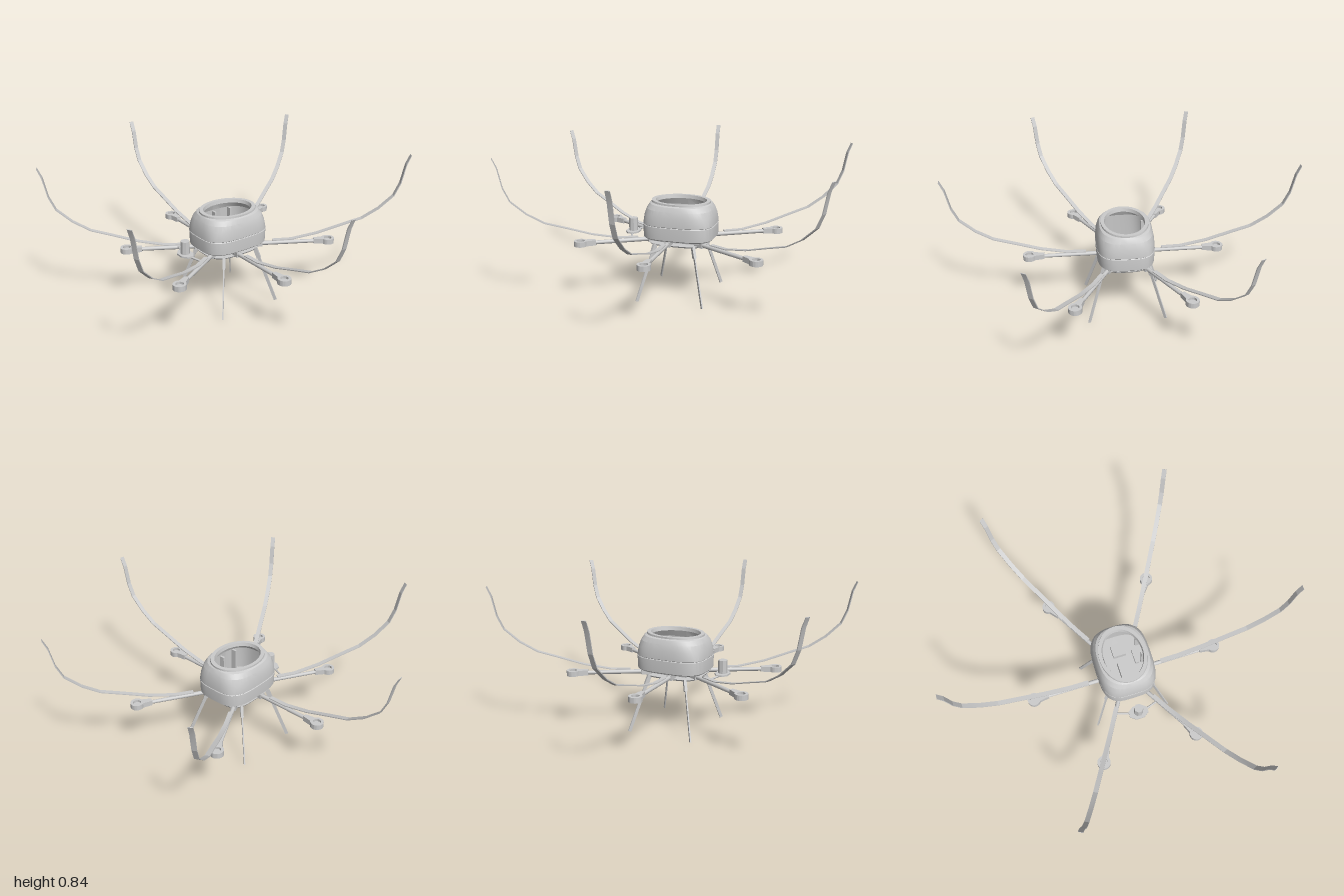
import * as THREE from 'three';
import { toCreasedNormals } from 'three/addons/utils/BufferGeometryUtils.js';

const mat = new THREE.MeshStandardMaterial({ color: 0xcccccc, side: THREE.DoubleSide });
const V = (x, y, z) => new THREE.Vector3(x, y, z);

function add(parent, name, geo, x = 0, y = 0, z = 0) {
  const m = new THREE.Mesh(geo, mat);
  m.name = name;
  m.position.set(x, y, z);
  parent.add(m);
  return m;
}

// Loft of superellipse rings [y, rx, rz, exponent], optionally closed at the ends
function loft(rings, capped = false, n = 40) {
  const pos = [], idx = [];
  for (const [y, rx, rz, e] of rings) {
    for (let i = 0; i < n; i++) {
      const a = (i / n) * Math.PI * 2, c = Math.cos(a), s = Math.sin(a);
      pos.push(rx * Math.sign(c) * Math.abs(c) ** (2 / e), y, rz * Math.sign(s) * Math.abs(s) ** (2 / e));
    }
  }
  for (let r = 0; r < rings.length - 1; r++) {
    for (let i = 0; i < n; i++) {
      const a = r * n + i, d = r * n + (i + 1) % n;
      idx.push(a, a + n, d + n, a, d + n, d);
    }
  }
  const last = (rings.length - 1) * n;
  for (let i = 1; capped && i < n - 1; i++) {
    idx.push(0, i, i + 1, last, last + i + 1, last + i);
  }
  const g = new THREE.BufferGeometry();
  g.setAttribute('position', new THREE.Float32BufferAttribute(pos, 3));
  g.setIndex(idx);
  return toCreasedNormals(g, 0.3);
}

// Straight rod between two points
function rod(parent, name, a, b, r0, r1 = r0, sides = 8) {
  const m = add(parent, name, new THREE.CylinderGeometry(r1, r0, a.distanceTo(b), sides));
  m.position.copy(a).add(b).multiplyScalar(0.5);
  m.quaternion.setFromUnitVectors(V(0, 1, 0), b.clone().sub(a).normalize());
}

// Curved flat strip: side profile (radius, height) thickened, then extruded to its width
function ribbonGeometry() {
  const pts = [[0.22, 0.36], [0.33, 0.362], [0.48, 0.392], [0.625, 0.438], [0.74, 0.473], [0.835, 0.53],
    [0.918, 0.605], [0.952, 0.68], [0.975, 0.79], [1.0, 0.845]].map(p => new THREE.Vector2(...p));
  const under = pts.map((p, i) => {
    const t = pts[Math.min(i + 1, pts.length - 1)].clone().sub(pts[Math.max(i - 1, 0)]).normalize();
    return new THREE.Vector2(p.x + t.y * 0.005, p.y - t.x * 0.005);
  });
  under[under.length - 1].x = 1.002;
  const g = new THREE.ExtrudeGeometry(new THREE.Shape([...under, ...pts.slice().reverse()]),
    { depth: 0.026, bevelEnabled: false });
  return toCreasedNormals(g.translate(0, 0, -0.013), 0.2);
}

// Teardrop motor mount with a round hole, centred on the origin
function mountGeometry() {
  const s = new THREE.Shape();
  s.moveTo(-0.085, -0.012);
  s.lineTo(-0.03, -0.02);
  s.absarc(0, 0, 0.037, -2.55, 2.55, false);
  s.lineTo(-0.085, 0.012);
  s.closePath();
  s.holes.push(new THREE.Path().absarc(0, 0, 0.022, 0, Math.PI * 2, true));
  const g = new THREE.ExtrudeGeometry(s, { depth: 0.03, bevelEnabled: false, curveSegments: 20 });
  return toCreasedNormals(g.rotateX(-Math.PI / 2), 0.5);
}

export function createModel() {
  const model = new THREE.Group();
  model.name = 'hexacopter';

  // Domed shell with a rolled lip and inner wall
  add(model, 'bodyShell', loft([
    [0.355, 0.198, 0.155, 3.4], [0.362, 0.205, 0.163, 3.4], [0.434, 0.207, 0.166, 3.4],
    [0.437, 0.204, 0.163, 3.4], [0.44, 0.207, 0.166, 3.4], [0.49, 0.2, 0.162, 3.2],
    [0.525, 0.19, 0.155, 2.9], [0.55, 0.176, 0.144, 2.5], [0.555, 0.171, 0.135, 2.1],
    [0.565, 0.171, 0.135, 2], [0.565, 0.148, 0.115, 2], [0.545, 0.143, 0.111, 2],
    [0.545, 0.165, 0.132, 2.4], [0.5, 0.185, 0.147, 3], [0.36, 0.19, 0.15, 3.4],
  ]), 0.005);

  // Base plates
  add(model, 'lowerPlate', loft([[0.32, 0.165, 0.135, 3.4], [0.328, 0.17, 0.14, 3.4]], true));
  add(model, 'upperPlate', loft([[0.35, 0.19, 0.148, 3.4], [0.36, 0.19, 0.148, 3.4]], true), 0.005);
  add(model, 'plateCore', new THREE.BoxGeometry(0.2, 0.024, 0.17), 0, 0.339, 0);
  add(model, 'bellyTray', new THREE.BoxGeometry(0.15, 0.008, 0.08), -0.02, 0.318, 0);

  // Equipment inside the shell
  const bay = new THREE.Group();
  bay.name = 'equipmentBay';
  model.add(bay);
  add(bay, 'battery', new THREE.BoxGeometry(0.12, 0.04, 0.06), -0.035, 0.38, 0);
  add(bay, 'controller', new THREE.BoxGeometry(0.075, 0.03, 0.075), 0.1, 0.375, 0);
  for (const s of [-1, 1]) {
    add(bay, 'sideModule', new THREE.BoxGeometry(0.09, 0.02, 0.02), 0.04, 0.37, s * 0.085);
    for (const x of [-0.1, 0, 0.11]) {
      add(bay, 'wallRib', new THREE.BoxGeometry(0.012, 0.14, 0.03), x, 0.43, s * 0.122);
    }
  }

  // Six arms, each with motor mount and curved guard strip
  const ribbon = ribbonGeometry(), mount = mountGeometry();
  for (const deg of [30, 90, 150, 210, 270, 330]) {
    const arm = new THREE.Group();
    arm.name = 'arm';
    arm.position.x = -0.03;
    arm.rotation.y = THREE.MathUtils.degToRad(deg);
    model.add(arm);
    const shift = Math.cos(arm.rotation.y) > 0.5 ? 0.071 : 0;
    rod(arm, 'armTube', V(0.09, 0.34, 0), V(0.48 + shift, 0.339, 0), 0.013, 0.011, 10);
    add(arm, 'armClamp', new THREE.BoxGeometry(0.06, 0.03, 0.032), 0.13 + shift, 0.339, 0);
    add(arm, 'motorMount', mount, 0.547 + shift, 0.325, 0);
    add(arm, 'mountFloor', new THREE.CylinderGeometry(0.023, 0.023, 0.006, 20), 0.547 + shift, 0.338, 0);
    add(arm, 'guardStrip', ribbon, shift, 0, 0);
  }

  // Four splayed blade legs, each hung from a short socket
  for (const deg of [50, 130, 230, 310]) {
    const leg = new THREE.Group();
    const a = THREE.MathUtils.degToRad(deg);
    leg.name = 'landingLeg';
    leg.position.set(Math.sign(Math.cos(a)) * 0.11, 0.33, -Math.sign(Math.sin(a)) * 0.125);
    leg.rotation.set(0, a, 0.375);
    model.add(leg);
    add(leg, 'legBlade', new THREE.BoxGeometry(0.018, 0.348, 0.007), 0, -0.174, 0);
    add(leg, 'legSocket', new THREE.BoxGeometry(0.024, 0.065, 0.016), 0, -0.034, 0);
  }

  // Side sensor post carried by two struts
  const sensor = new THREE.Group();
  sensor.name = 'sensorPost';
  sensor.position.x = -0.287;
  model.add(sensor);
  const plate = new THREE.CylinderGeometry(1, 1, 0.009, 8).rotateY(Math.PI / 8).scale(0.042, 1, 0.06);
  add(sensor, 'sensorPlate', toCreasedNormals(plate, 0.3), 0, 0.356, 0);
  const column = new THREE.CylinderGeometry(0.026, 0.026, 0.077, 8).rotateY(Math.PI / 8);
  add(sensor, 'sensorColumn', toCreasedNormals(column, 0.3), 0, 0.397, 0);
  for (const s of [-1, 1]) {
    rod(sensor, 'sensorStrut', V(0.008, 0.352, s * 0.05), V(0.03, 0.347, s * 0.115), 0.006);
  }
  return model;
}
